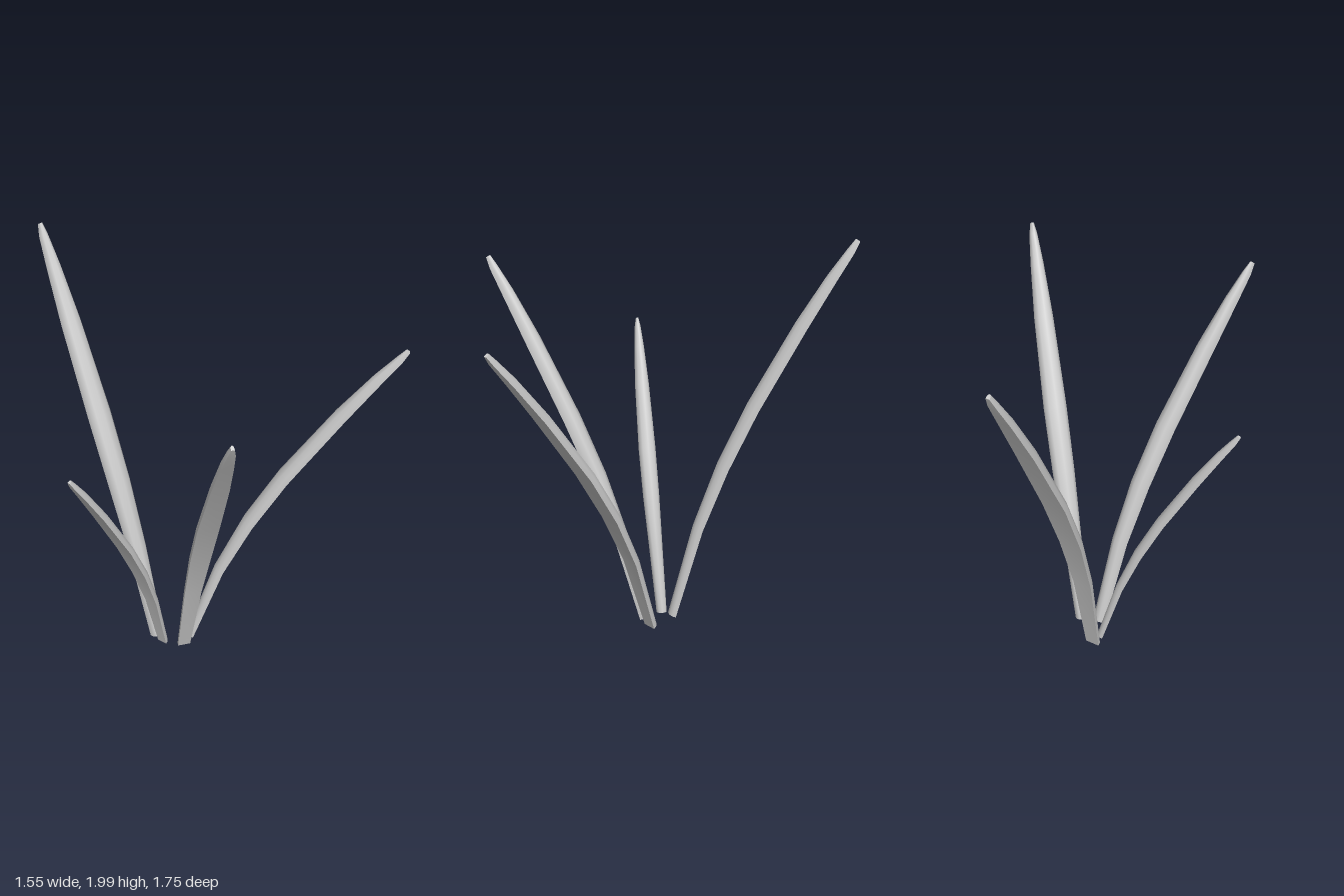
import * as THREE from 'three';
import { toCreasedNormals } from 'three/addons/utils/BufferGeometryUtils.js';

// Rings from base to tip, as shares of: outward reach, height, width, thickness
const RINGS = [
  [0, 0, 0.6, 0.72], [0.15, 0.25, 0.8, 0.88], [0.29, 0.42, 0.96, 1], [0.455, 0.58, 1, 1],
  [0.71, 0.79, 0.82, 0.96], [0.87, 0.91, 0.56, 0.8], [0.965, 0.975, 0.34, 0.6], [1, 1, 0.15, 0.4],
];
// Cross-section: flat underside, arched upper face
const SECTION = [
  [1, -1], [0.95, -0.1], [0.65, 0.65], [0, 1], [-0.65, 0.65], [-0.95, -0.1], [-1, -1],
];

function bladeGeometry(base, tip, width, thickness) {
  const a = new THREE.Vector3(...base);
  const d = new THREE.Vector3(...tip).sub(a);
  const side = new THREE.Vector3(d.z, 0, -d.x).normalize();
  const n = SECTION.length;
  const positions = [], index = [];

  // Bent spine, bowed slightly to one side
  const spine = new THREE.CatmullRomCurve3(RINGS.map(([reach, height]) =>
    new THREE.Vector3(a.x + d.x * reach, a.y + d.y * height, a.z + d.z * reach)
      .addScaledVector(side, 0.2 * width * Math.sin(Math.PI * height))));

  // Rings along the spine
  RINGS.forEach(([, , w, h], i) => {
    const tangent = spine.getTangent(i / (RINGS.length - 1));
    const normal = tangent.clone().cross(side).normalize();
    for (const [u, v] of SECTION) {
      const p = spine.points[i].clone()
        .addScaledVector(side, u * width * w / 2)
        .addScaledVector(normal, v * thickness * h / 2);
      positions.push(p.x, p.y, p.z);
    }
  });
  const last = (RINGS.length - 1) * n;
  for (let i = 0; i < last; i += n) {
    for (let k = 0; k < n; k++) {
      const p = i + k, q = i + (k + 1) % n;
      index.push(p, q, p + n, q, q + n, p + n);
    }
  }
  // End caps
  for (let k = 1; k < n - 1; k++) {
    index.push(0, k + 1, k);
    index.push(last, last + k, last + k + 1);
  }

  const geometry = new THREE.BufferGeometry();
  geometry.setAttribute('position', new THREE.Float32BufferAttribute(positions, 3));
  geometry.setIndex(index);
  return toCreasedNormals(geometry, 1.1);
}

export function createModel() {
  const group = new THREE.Group();
  group.name = 'grassTuft';
  const material = new THREE.MeshStandardMaterial({ color: 0xcccccc });

  // Name, base centre, tip, width, thickness
  const blades = [
    ['backBlade', [-0.258, 0.012, -0.08], [-0.515, 1.995, -0.862], 0.118, 0.057],
    ['frontBlade', [-0.165, 0.02, 0.025], [-0.25, 1.805, 0.862], 0.104, 0.056],
    ['leftBlade', [-0.11, 0.02, -0.025], [0.765, 1.745, 0.395], 0.112, 0.053],
    ['rightBlade', [-0.248, 0.012, -0.03], [-0.767, 1.38, 0.296], 0.085, 0.043],
  ];
  for (const [name, base, tip, width, thickness] of blades) {
    const mesh = new THREE.Mesh(bladeGeometry(base, tip, width, thickness), material);
    mesh.name = name;
    group.add(mesh);
  }
  return group;
}
